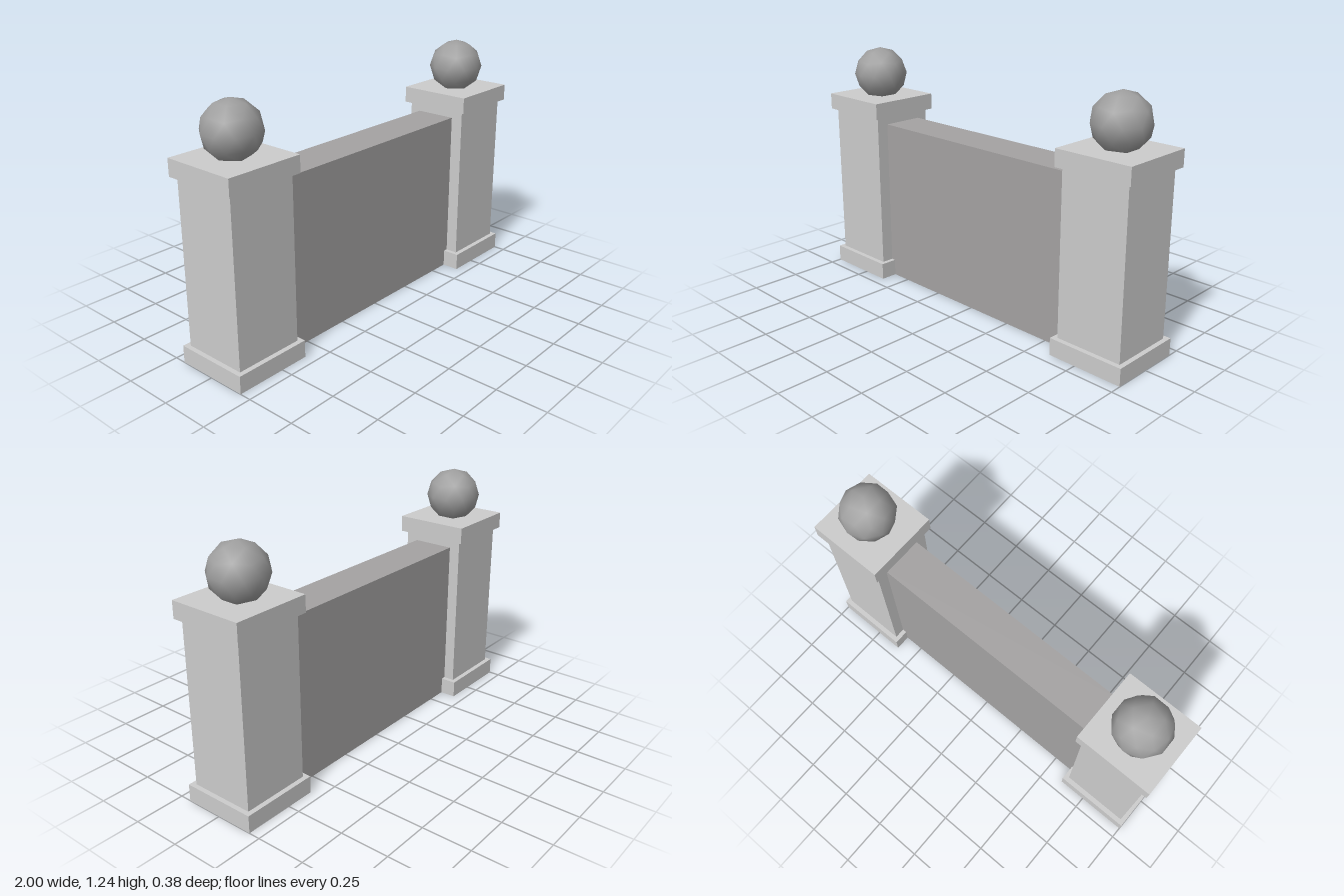
import * as THREE from 'three';

const paleStone = new THREE.MeshStandardMaterial({ name: 'paleStone', color: 0xcccccc });
const wallStone = new THREE.MeshStandardMaterial({ name: 'wallStone', color: 0xa4a2a2 });
const ballStone = new THREE.MeshStandardMaterial({ name: 'ballStone', color: 0xa0a0a0 });

function part(name, geometry, material, x, y, z) {
  const mesh = new THREE.Mesh(geometry, material);
  mesh.name = name;
  mesh.position.set(x, y, z);
  return mesh;
}

function rectangle(target, w, d) {
  target.moveTo(-w / 2, -d / 2);
  target.lineTo(w / 2, -d / 2);
  target.lineTo(w / 2, d / 2);
  target.lineTo(-w / 2, d / 2);
  target.closePath();
  return target;
}

// Hollow plinth, open underneath up to the bottom of the shaft
function plinthGeometry(w, d, h, innerW, innerD) {
  const outline = rectangle(new THREE.Shape(), w, d);
  outline.holes.push(rectangle(new THREE.Path(), innerW, innerD));
  const geometry = new THREE.ExtrudeGeometry(outline, { depth: h, bevelEnabled: false });
  return geometry.rotateX(-Math.PI / 2);
}

function createPillar(name, x) {
  const pillar = new THREE.Group();
  pillar.name = name;
  pillar.position.x = x;

  const capW = 0.395, capD = 0.384, shaftW = 0.348, shaftD = 0.334;
  const baseTop = 0.087, shaftTop = 0.902, capTop = 0.986;

  pillar.add(part('plinth', plinthGeometry(capW, capD, baseTop, shaftW, shaftD), paleStone, 0, 0, 0));
  pillar.add(part('shaft', new THREE.BoxGeometry(shaftW, shaftTop - baseTop, shaftD), paleStone,
    0, (baseTop + shaftTop) / 2, 0));
  pillar.add(part('cap', new THREE.BoxGeometry(capW, capTop - shaftTop, capD), paleStone,
    0, (shaftTop + capTop) / 2, 0));

  // Faceted ball with a vertex pointing straight up
  const ball = new THREE.IcosahedronGeometry(0.14, 1);
  ball.rotateZ(-Math.atan(2 / (1 + Math.sqrt(5))));
  pillar.add(part('ball', ball, ballStone, 0, 1.1, -0.005));
  return pillar;
}

export function createModel() {
  const model = new THREE.Group();
  model.name = 'wallWithPillars';

  // Wall panel, its ends set slightly into the pillars
  model.add(part('wall', new THREE.BoxGeometry(1.28, 0.86, 0.214), wallStone, 0, 0.43, -0.003));

  for (const side of [-1, 1]) {
    model.add(createPillar(side > 0 ? 'leftPillar' : 'rightPillar', side * 0.802));
  }
  return model;
}
